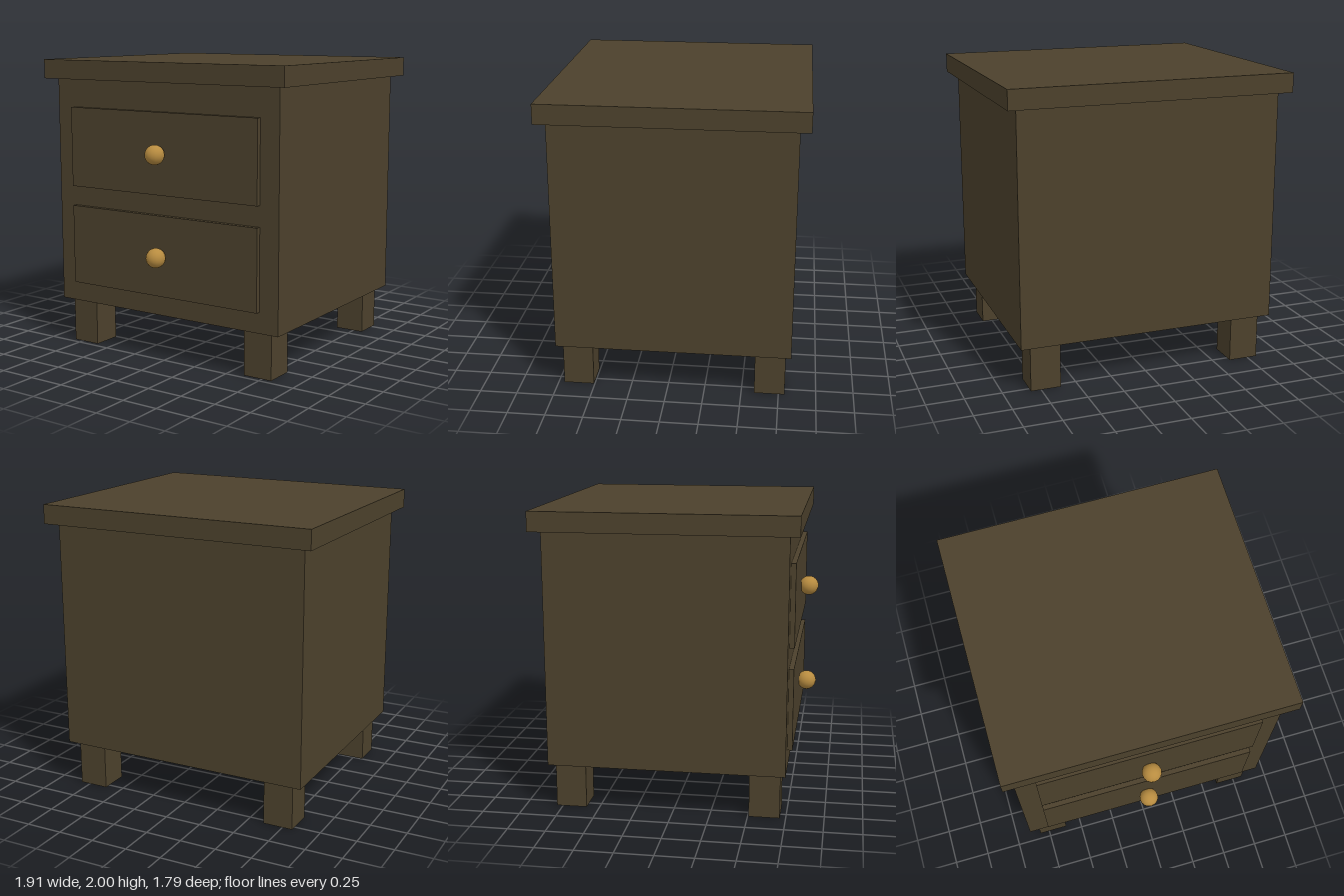
import * as THREE from 'three';

export function createModel() {
  const group = new THREE.Group();
  group.name = 'nightstand';

  const wood = new THREE.MeshStandardMaterial({ color: 0x4c412c });
  wood.name = 'dark wood';
  const brass = new THREE.MeshStandardMaterial({ color: 0xb88c40 });
  brass.name = 'brass';

  // Box from its minimum and maximum corners
  function box(name, [x0, y0, z0], [x1, y1, z1]) {
    const mesh = new THREE.Mesh(new THREE.BoxGeometry(x1 - x0, y1 - y0, z1 - z0), wood);
    mesh.position.set((x0 + x1) / 2, (y0 + y1) / 2, (z0 + z1) / 2);
    mesh.name = name;
    group.add(mesh);
  }

  // Cabinet and overhanging top
  box('cabinet', [-0.888, 0.31, -0.827], [0.888, 1.87, 0.747]);
  box('tabletop', [-0.956, 1.87, -0.896], [0.956, 2, 0.813]);

  // Two raised drawer fronts, each with a round knob
  const knobGeometry = new THREE.SphereGeometry(0.066, 16, 12);
  for (const [name, y] of [['upper', 1.405], ['lower', 0.722]]) {
    box(name + 'Drawer', [-0.75, y - 0.273, 0.737], [0.75, y + 0.273, 0.78]);
    const knob = new THREE.Mesh(knobGeometry, brass);
    knob.position.set(0, y, 0.831);
    knob.name = name + 'Knob';
    group.add(knob);
  }

  // Four square legs
  for (const [side, x] of [['left', 0.717], ['right', -0.717]]) {
    for (const [end, z] of [['Front', 0.609], ['Back', -0.689]]) {
      box(side + end + 'Leg', [x - 0.102, 0, z - 0.102], [x + 0.102, 0.31, z + 0.102]);
    }
  }

  return group;
}
